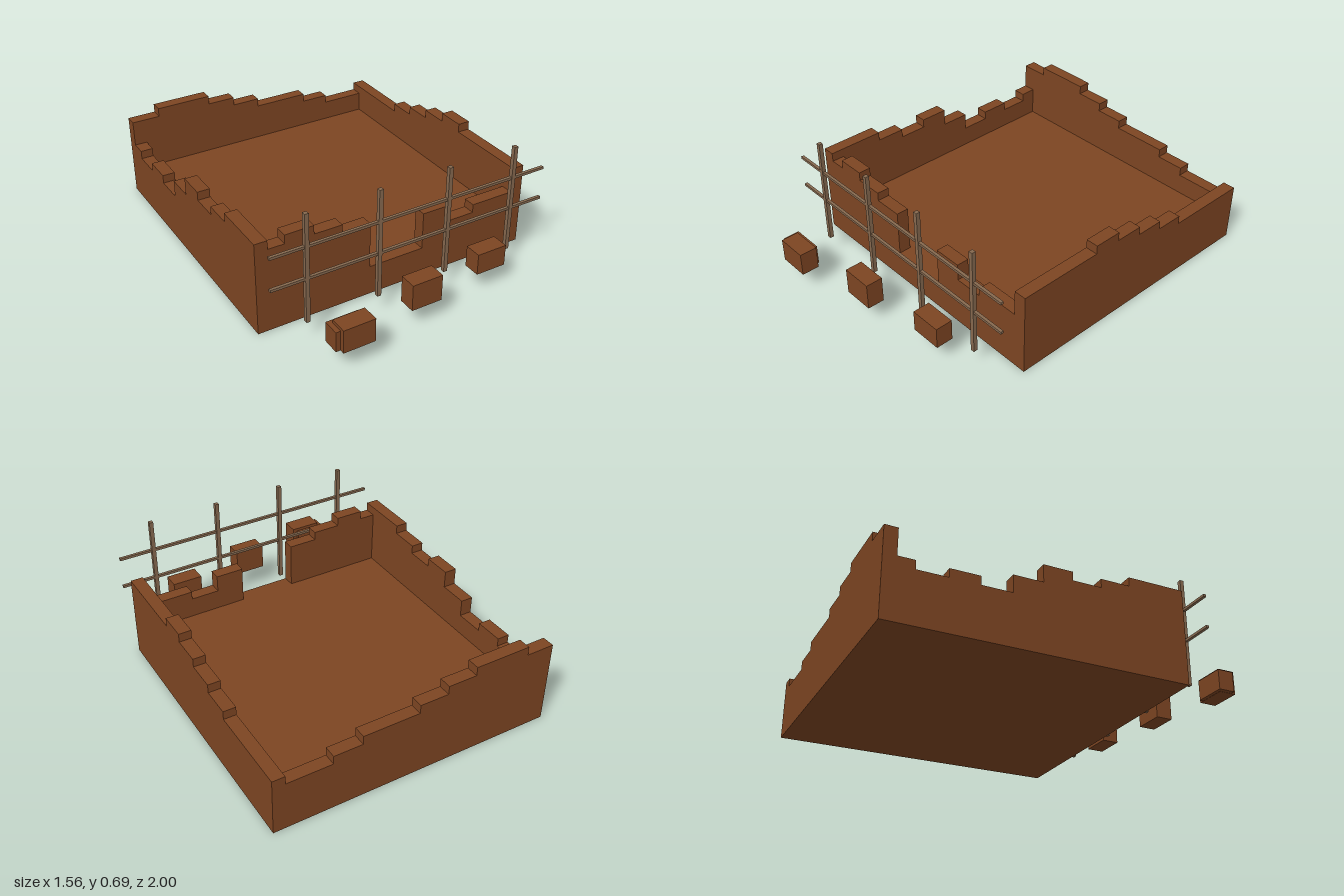
import * as THREE from 'three';

const X = 0.78, Z0 = -1, Z1 = 0.56; // building outline
const T = 0.068;                    // wall thickness
const FLOOR = 0.163;                // top of the base slab
const LEVELS = [0.275, 0.321, 0.368, 0.415, 0.462, 0.51]; // heights of the broken courses

export function createModel() {
  const model = new THREE.Group();
  const brick = new THREE.MeshStandardMaterial({ color: 0x7d4522 });
  brick.name = 'brick brown';
  const wood = new THREE.MeshStandardMaterial({ color: 0x86694f });
  wood.name = 'weathered wood';

  const box = (name, mat, x0, x1, y0, y1, z0, z1) => {
    const mesh = new THREE.Mesh(new THREE.BoxGeometry(x1 - x0, y1 - y0, z1 - z0), mat);
    mesh.position.set((x0 + x1) / 2, (y0 + y1) / 2, (z0 + z1) / 2);
    mesh.name = name;
    model.add(mesh);
  };

  // Ruined wall: a stepped profile; each step is [end position, level index]
  const wall = (name, start, steps) => {
    const shape = new THREE.Shape();
    shape.moveTo(start, FLOOR);
    let p = start;
    for (const [end, level] of steps) {
      shape.lineTo(p, LEVELS[level]);
      shape.lineTo(end, LEVELS[level]);
      p = end;
    }
    shape.lineTo(p, FLOOR);
    shape.closePath();
    const geo = new THREE.ExtrudeGeometry(shape, { depth: T, bevelEnabled: false });
    const mesh = new THREE.Mesh(geo, brick);
    mesh.name = name;
    model.add(mesh);
    return mesh;
  };

  // Base slab and floor
  box('base', brick, -X, X, 0, FLOOR, Z0, Z1);

  // Back wall
  wall('backWall', -X, [[-0.624, 4], [-0.315, 5], [-0.157, 4], [0, 3], [0.31, 2], [0.466, 1], [X - T, 0]])
    .position.z = Z0;

  // Front wall, either side of the doorway
  wall('frontWallRight', -X + T, [[-0.624, 4], [-0.468, 5], [-0.315, 4], [-0.157, 3]]).position.z = Z1 - T;
  wall('frontWallLeft', 0.155, [[0.31, 2], [0.466, 0], [X - T, 1]]).position.z = Z1 - T;

  // Side walls, turned so the profile runs along z
  const left = wall('leftWall', Z0, [[-0.532, 1], [-0.375, 2], [-0.218, 3], [-0.062, 4], [0.092, 5], [Z1, 4]]);
  left.rotation.y = -Math.PI / 2;
  left.position.x = X;
  const right = wall('rightWall', Z0 + T, [[-0.845, 1], [-0.688, 0], [-0.532, 1], [-0.375, 0], [-0.218, 2],
    [-0.062, 4], [0.092, 3], [0.25, 4], [Z1, 5]]);
  right.rotation.y = -Math.PI / 2;
  right.position.x = -X + T;

  // Scaffold in front: four posts and two rails
  for (const x of [-0.59, -0.198, 0.195, 0.585]) {
    box('scaffoldPost', wood, x - 0.011, x + 0.011, 0.097, 0.695, 0.689, 0.711);
  }
  box('upperRail', wood, -X, X, 0.512, 0.526, 0.692, 0.708);
  box('lowerRail', wood, -X, X, 0.337, 0.351, 0.692, 0.708);

  // Loose blocks
  box('looseBlock', brick, -0.575, -0.405, 0.112, 0.239, 0.905, 1.0);
  box('looseBlock', brick, -0.6, -0.43, 0.113, 0.222, 0.885, 0.975);
  box('looseBlock', brick, -0.14, 0.03, 0.112, 0.256, 0.812, 0.905);
  box('looseBlock', brick, 0.3, 0.47, 0.112, 0.228, 0.737, 0.831);

  return model;
}
